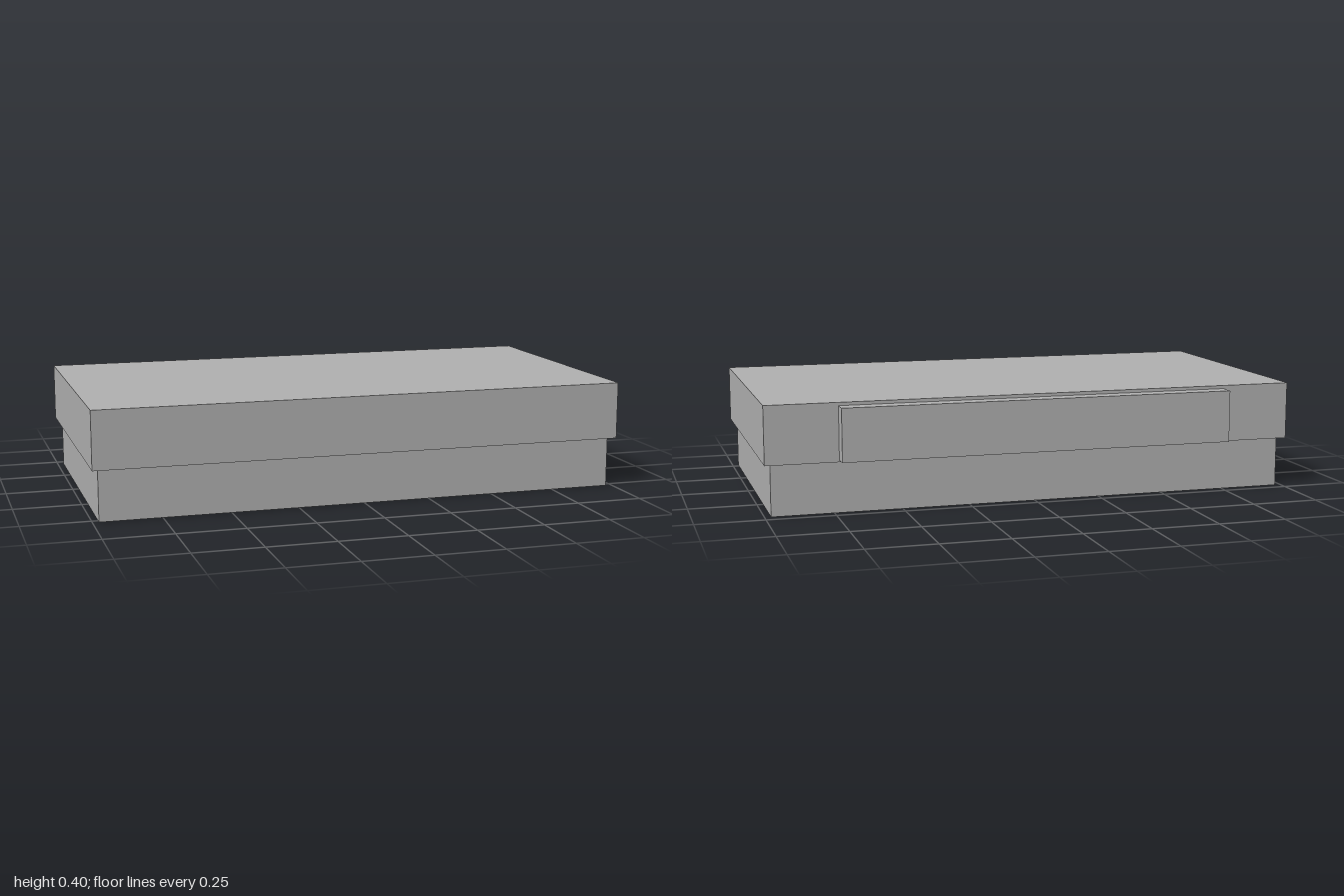
import * as THREE from 'three';

export function createModel() {
  const model = new THREE.Group();
  const grey = new THREE.MeshStandardMaterial({ color: 0xb2b2b2 });
  grey.name = 'grey';

  // Box given by its extents along each axis
  function addBlock(name, [x0, x1], [y0, y1], [z0, z1]) {
    const mesh = new THREE.Mesh(new THREE.BoxGeometry(x1 - x0, y1 - y0, z1 - z0), grey);
    mesh.position.set((x0 + x1) / 2, (y0 + y1) / 2, (z0 + z1) / 2);
    mesh.name = name;
    model.add(mesh);
  }

  // Recessed base, overhanging slab and the strip along the back
  addBlock('base', [-0.977, 0.977], [0, 0.19], [-0.461, 0.522]);
  addBlock('topSlab', [-1, 1], [0.19, 0.404], [-0.491, 0.55]);
  addBlock('backStrip', [-0.737, 0.735], [0.198, 0.392], [-0.55, -0.491]);

  return model;
}
